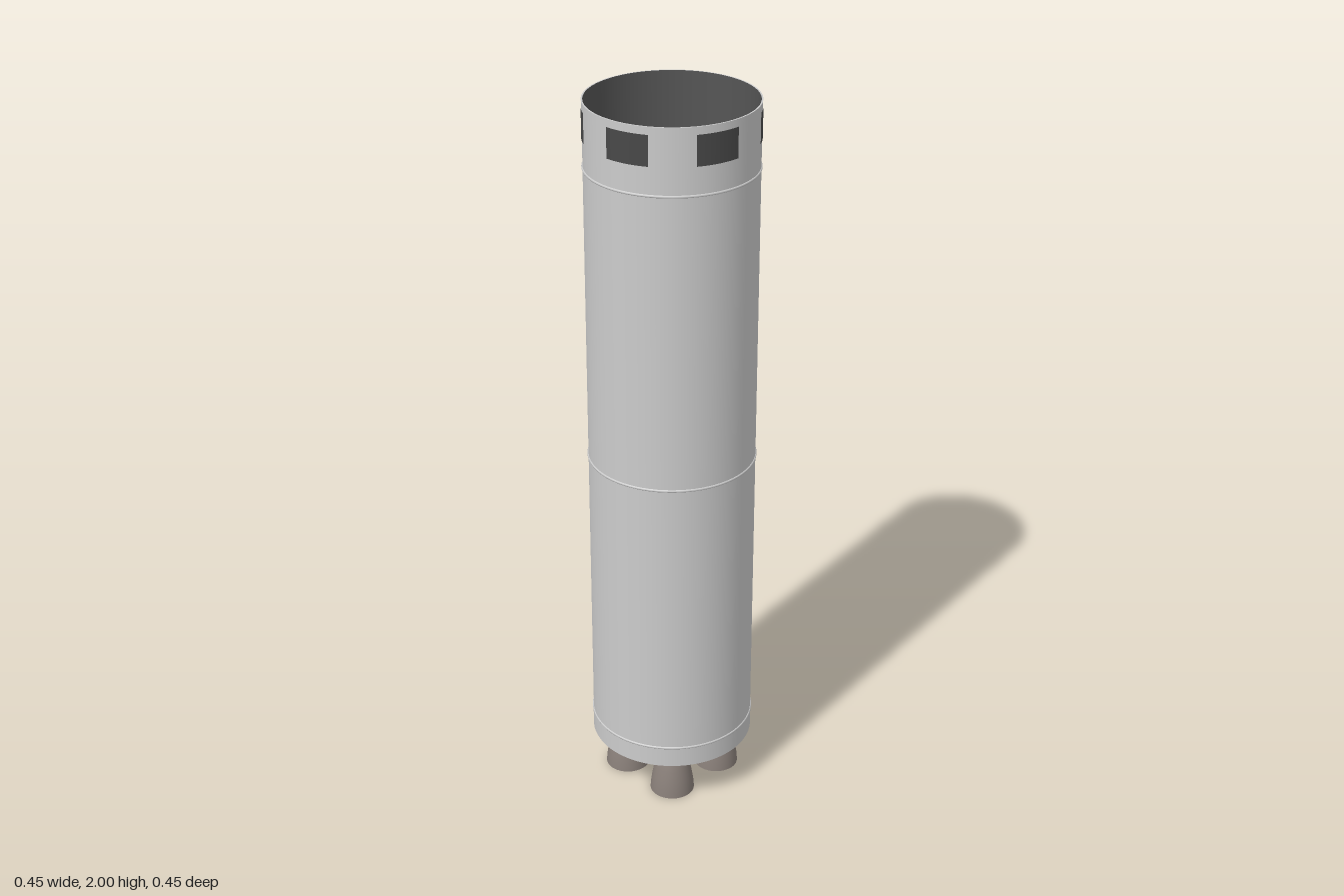
import * as THREE from 'three';

const SEG = 72;
const R = 0.224;

function material(color, side = THREE.FrontSide) {
  return new THREE.MeshStandardMaterial({ color, side });
}

function add(parent, name, geometry, mat, y = 0) {
  const mesh = new THREE.Mesh(geometry, mat);
  mesh.name = name;
  mesh.position.y = y;
  parent.add(mesh);
  return mesh;
}

// open tube wall between two heights
function wall(radius, y0, y1, start = 0, length = Math.PI * 2, seg = SEG) {
  return new THREE.CylinderGeometry(radius, radius, y1 - y0, seg, 1, true, start, length)
    .translate(0, (y0 + y1) / 2, 0);
}

function lathe(points, seg) {
  return new THREE.LatheGeometry(points.map(([r, y]) => new THREE.Vector2(r, y)), seg);
}

export function createModel() {
  const model = new THREE.Group();
  model.name = 'boosterStage';
  const grey = material(0xcccccc);
  const dark = material(0x555555, THREE.DoubleSide);
  const panelMat = material(0x484848);
  const bellMat = material(0x8a807a, THREE.DoubleSide);

  // outer skin: engine skirt, tank section and open interstage
  add(model, 'engineSkirt', wall(R + 0.001, 0.14, 0.2), grey);
  add(model, 'tankBody', wall(R, 0.2, 1.83), grey);
  add(model, 'interstage', wall(R, 1.83, 2), grey);

  // dark linings and bulkheads at both open ends
  const inner = R - 0.003;
  add(model, 'interstageLining', wall(inner, 1.83, 2), dark);
  add(model, 'skirtLining', wall(inner, 0.14, 0.2), dark);
  for (const [name, y] of [['upperBulkhead', 1.83], ['lowerBulkhead', 0.2]]) {
    add(model, name, new THREE.CircleGeometry(inner, SEG).rotateX(-Math.PI / 2), dark, y);
  }
  for (const [name, y, turn] of [['topRim', 2, -1], ['skirtRim', 0.14, 1]]) {
    add(model, name, new THREE.RingGeometry(inner, R + 0.001, SEG).rotateX(turn * Math.PI / 2), grey, y);
  }

  // joint bands
  for (const y of [0.2, 1.015, 1.825]) {
    add(model, 'jointBand', new THREE.TorusGeometry(R - 0.001, 0.004, 8, SEG).rotateX(Math.PI / 2), grey, y);
  }

  // six dark panels around the interstage
  for (let i = 0; i < 6; i++) {
    add(model, 'interstagePanel', wall(R + 0.0015, 1.9, 1.98, Math.PI / 6 + i * Math.PI / 3, Math.PI / 6, 8), panelMat);
  }

  // four engines: chamber and throat above a flared open bell
  const chamber = lathe([[0.025, 0.15], [0.027, 0.16], [0.035, 0.175], [0.035, 0.2]], 24);
  const bell = lathe([[0.062, 0], [0.06, 0.025], [0.056, 0.05], [0.05, 0.08], [0.042, 0.11], [0.031, 0.137], [0.025, 0.15]], 32);
  for (const sx of [-1, 1]) {
    for (const sz of [-1, 1]) {
      const engine = new THREE.Group();
      engine.name = 'engine';
      engine.position.set(sx * 0.09, 0, sz * 0.09);
      add(engine, 'combustionChamber', chamber, grey);
      add(engine, 'nozzleBell', bell, bellMat);
      model.add(engine);
    }
  }
  return model;
}
